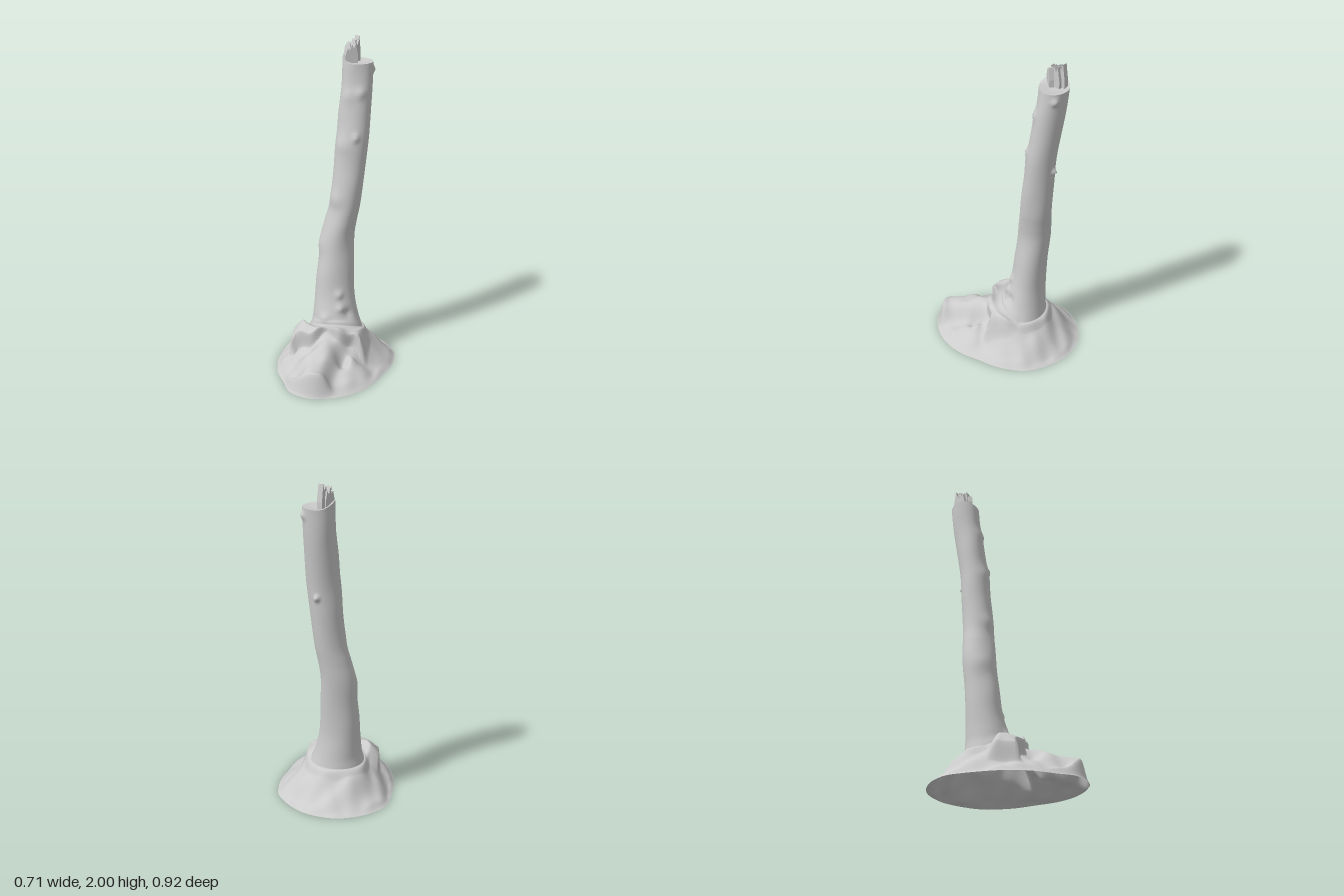
import * as THREE from 'three';

const N = 140, MOUND = 64, TRUNK = 170; // columns, rows of the mound, rows of the trunk
const mat = new THREE.MeshStandardMaterial({ color: 0xcccccc, side: THREE.DoubleSide });
const V = (x, y, z) => new THREE.Vector3(x, y, z);
const lerp = THREE.MathUtils.lerp;
const step = THREE.MathUtils.smoothstep;
const bump = (x, z, cx, cz, r) => Math.exp(-((x - cx) ** 2 + (z - cz) ** 2) / (r * r));

// Ground outline of the mound, x and z
const outline = new THREE.CatmullRomCurve3([
  [0, -.46], [.1, -.44], [.2, -.39], [.3, -.28], [.35, -.18], [.355, -.1], [.345, 0], [.3, .13], [.26, .24],
  [.19, .34], [.1, .41], [0, .45], [-.06, .46], [-.15, .44], [-.22, .39], [-.27, .29], [-.33, .17],
  [-.357, .03], [-.355, -.06], [-.33, -.22], [-.3, -.31], [-.22, -.39], [-.12, -.44],
].map(([x, z]) => V(x, 0, z)), true).getSpacedPoints(N).slice(0, N);
const angles = outline.map(p => Math.atan2(p.z + .11, p.x + .015));

// Trunk sections: y, centre x, centre z, radius x, radius z
const sections = [
  [.21, -.01, -.108, .16, .138], [.26, -.012, -.112, .145, .13], [.32, -.018, -.117, .134, .124],
  [.42, -.025, -.13, .122, .11], [.6, -.022, -.15, .112, .1], [.8, -.011, -.172, .101, .098],
  [.9, .008, -.178, .097, .095], [1, .032, -.183, .093, .093], [1.2, .053, -.198, .095, .09],
  [1.4, .07, -.215, .098, .086], [1.7, .087, -.26, .092, .086], [1.86, .09, -.28, .09, .085],
];
const centreLine = new THREE.CatmullRomCurve3(sections.map(s => V(s[1], s[0], s[2])));
const radii = new THREE.CatmullRomCurve3(sections.map(s => V(s[3], s[0], s[4])));

// Knots and swellings of the bark: x, y, z, size, height
const knots = [
  [.178, 1.81, -.3, .022, .016], [.107, 1.32, -.292, .015, .03], [.1, 1.43, -.135, .022, .014],
  [.12, 1.69, -.18, .03, .012], [.02, .45, -.03, .025, .012], [.03, .37, -.01, .025, .012],
  [.08, .33, -.03, .03, -.012], [-.1, .74, -.14, .06, .01], [.02, 1.38, -.15, .05, .008],
  [-.02, 1.04, -.11, .05, .01], [.05, 1.67, -.18, .04, .008], [-.06, .3, -.01, .03, .015],
];

// Point on the bark, t from the foot to the broken rim
function bark(i, t) {
  const a = angles[i], ca = Math.cos(a), sa = Math.sin(a);
  const c = centreLine.getPoint(t), r = radii.getPoint(t);
  const front = .5 + .5 * Math.cos(a - 2.2);
  let out = Math.sin(c.y * 17 + 2 * a) * Math.sin(c.y * 7 - a) * .003 * front + Math.sin(3 * a + c.y * 4) * .002;
  const foot = .065 * Math.max(0, sa) * (1 - step(t, 0, .2));
  const rim = step(t, .96, 1) * .035 * Math.max(0, Math.cos(a - 3.3)) ** 2;
  const p = V(c.x + r.x * ca, c.y + foot + rim, c.z + r.z * sa);
  for (const [x, y, z, size, h] of knots)
    out += h * Math.exp(-((p.x - x) ** 2 + (p.y - y) ** 2 + (p.z - z) ** 2) / (size * size));
  p.x += out * ca;
  p.z += out * sa;
  return p;
}
const feet = angles.map((a, i) => bark(i, 0));

// Point on the mound, s from the ground edge to the trunk foot
function earth(i, s) {
  const a = angles[i], o = outline[i], top = feet[i];
  const x = lerp(o.x, top.x, s), z = lerp(o.z, top.z, s);
  const side = .21 * Math.pow(s, 1.15 - .15 * Math.sin(a));
  // Front root, steep on its right flank
  const ridge = .145 * step(s, 0, .11) + .06 * step(s, .08, .75) + .075 * s ** 7;
  const dx = x + .05 - .03 * Math.sin(z * 14);
  const w = Math.exp(dx > 0 ? -((dx / .09) ** 4) : -((dx / .14) ** 2)) * step(z, -.05, .1);
  let y = lerp(side, ridge, w);
  const fade = step(s, 0, .2) * (1 - step(s, .88, 1));
  // Root ledges that break off in a wavy, overhanging edge
  const edge = .085 + .018 * Math.sin(x * 38);
  const ends = x < 0 ? step(x, -.27, -.245) : 1 - step(x, .13, .22);
  const ledge = (1 - step(z, edge - .01, edge + .012)) * step(z, -.1, -.03) * ends * fade;
  y += ledge * (.068 + .03 * step(-x, .1, .2));
  // Hollows and lumps
  y += fade * (-.04 * bump(x, z, -.15, .15, .05) - .05 * bump(x, z, .07, .18, .045) - .03 * bump(x, z, .2, .12, .05)
    + .04 * bump(x, z, .12, .17, .035) + .025 * bump(x, z, .13, .06, .04)
    - .03 * bump(x, z, -.2, .33, .07) + .02 * bump(x, z, -.1, -.3, .06));
  y += fade * .006 * (Math.sin(x * 41 + z * 17) * Math.cos(z * 33 - x * 11) + Math.sin(5 * a + 8 * s));
  const over = .018 * ledge * step(s, .2, .4);
  return V(x + over * Math.cos(a), Math.max(0, lerp(y, top.y, step(s, .8, 1))), z + over * Math.sin(a));
}

// Closed rings of N points joined into a skin
function skin(rows, pointAt) {
  const pos = [], index = [];
  for (let j = 0; j <= rows; j++) for (let i = 0; i < N; i++) {
    pos.push(...pointAt(i, j).toArray());
    if (j === rows) continue;
    const a = j * N + i, b = j * N + (i + 1) % N;
    index.push(a, a + N, b, b, a + N, b + N);
  }
  const g = new THREE.BufferGeometry();
  g.setAttribute('position', new THREE.Float32BufferAttribute(pos, 3));
  g.setIndex(index);
  g.computeVertexNormals();
  return g;
}

// Splinter plate standing between two points, with a jagged upper edge
function plate([x0, z0], [x1, z1], tips, thick) {
  const length = Math.hypot(x1 - x0, z1 - z0), shape = new THREE.Shape();
  shape.moveTo(0, 1.83);
  shape.lineTo(length, 1.83);
  tips.forEach((y, k) => shape.lineTo(length * (1 - k / (tips.length - 1)), y));
  const g = new THREE.ExtrudeGeometry(shape, { depth: thick, bevelEnabled: false });
  g.translate(0, 0, -thick / 2);
  g.rotateY(-Math.atan2(z1 - z0, x1 - x0));
  g.translate(x0, 0, z0);
  return g;
}

export function createModel() {
  const model = new THREE.Group();
  const add = (name, geometry, parent = model) => {
    const m = new THREE.Mesh(geometry, mat);
    m.name = name;
    parent.add(m);
  };

  // Mound and trunk in one smooth skin
  add('trunkAndRoots', skin(MOUND + TRUNK, (i, j) => j < MOUND ? earth(i, j / MOUND) : bark(i, (j - MOUND) / TRUNK)));

  // Broken top face, slightly dished
  add('brokenTop', skin(8, (i, j) => {
    const p = bark(i, 1), s = j / 8;
    return V(lerp(p.x, .09, s), lerp(p.y, 1.855, step(s, 0, .6)), lerp(p.z, -.28, s));
  }));

  // Jagged splinters
  const splinters = new THREE.Group();
  splinters.name = 'splinters';
  model.add(splinters);
  [
    [[.03, -.25], [.085, -.345], [1.9, 2, 1.96, 1.985, 1.95, 1.97, 1.94, 1.97, 1.92], .03],
    [[.015, -.27], [.06, -.325], [1.91, 1.96, 1.935, 1.97, 1.94, 1.95, 1.9], .025],
    [[.02, -.24], [.09, -.265], [1.9, 1.97, 1.945, 1.96, 1.93, 1.94, 1.9], .026],
    [[.06, -.27], [.092, -.315], [1.9, 1.98, 1.95, 1.985, 1.94], .022],
  ].forEach(args => add('splinter', plate(...args), splinters));

  return model;
}
